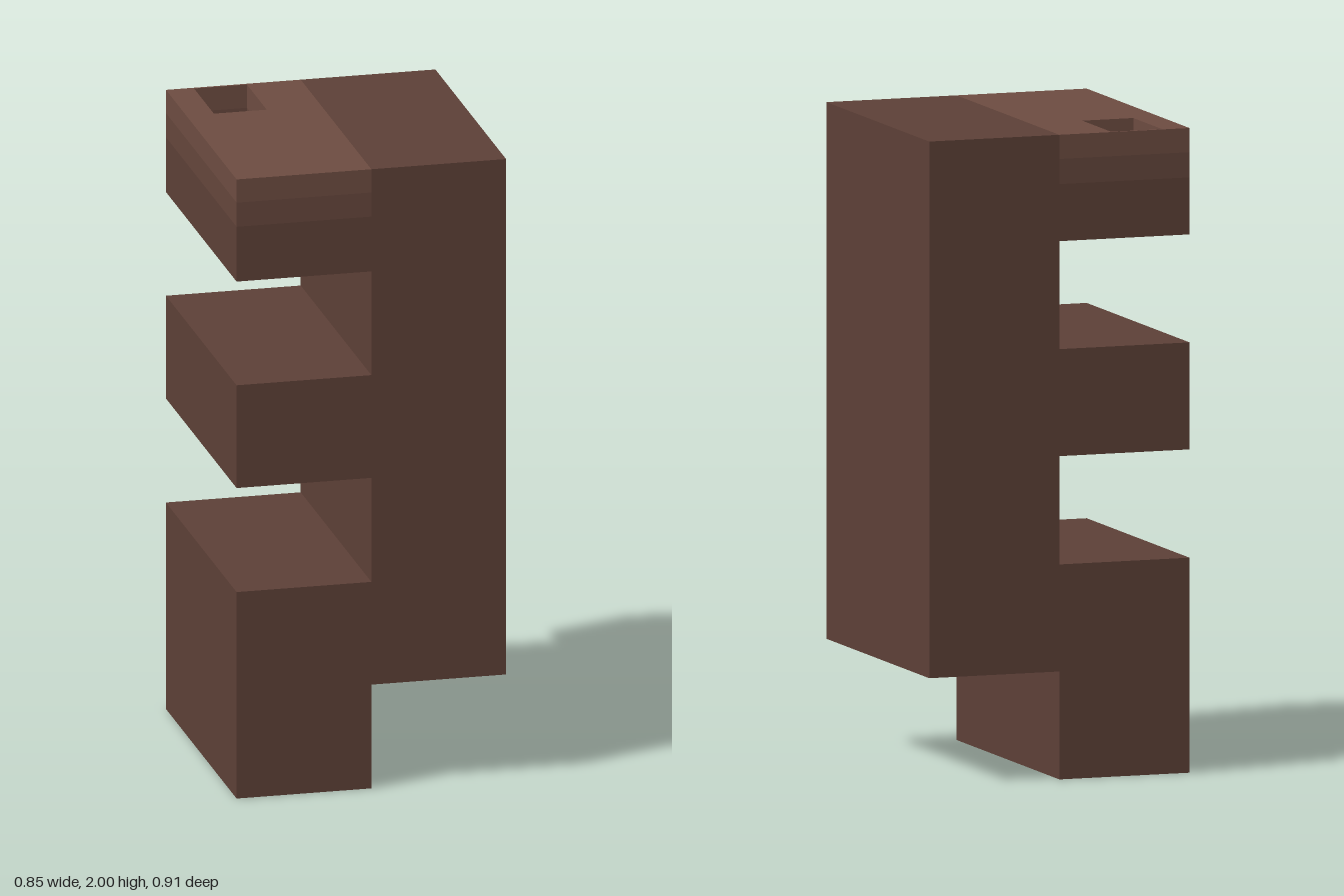
import * as THREE from 'three';

const W = 0.426, D = 0.457; // half width and half depth

function part(name, geometry, color) {
  const mesh = new THREE.Mesh(geometry, new THREE.MeshStandardMaterial({ color, flatShading: true }));
  mesh.name = name;
  return mesh;
}

const polygon = (points) => new THREE.Shape(points.map(([x, y]) => new THREE.Vector2(x, y)));

const rectangle = (x0, x1, y0, y1) => [[x0, y0], [x1, y0], [x1, y1], [x0, y1]];

export function createModel() {
  const model = new THREE.Group();
  model.name = 'toothedBlock';

  // Upright block with the lower and middle teeth on its right side
  const profile = polygon([
    [-W, 0], [0, 0], [0, 0.335], [W, 0.335], [W, 2], [0, 2],
    [0, 1.335], [-W, 1.335], [-W, 1.003], [0, 1.003], [0, 0.667], [-W, 0.667],
  ]);
  const body = new THREE.ExtrudeGeometry(profile, { depth: 2 * D, bevelEnabled: false });
  body.translate(0, 0, -D);
  model.add(part('body', body, 0x5d4037));

  // Top tooth: three coloured layers pierced by one square shaft near the back
  const topTooth = new THREE.Group();
  topTooth.name = 'topTooth';
  const layers = [
    ['toothBase', 1.67, 1.847, 0x5d4037],
    ['toothMiddleBand', 1.847, 1.925, 0x65463c],
    ['toothTopBand', 1.925, 2, 0x6d4c41],
  ];
  for (const [name, y0, y1, color] of layers) {
    const plan = polygon(rectangle(-W, 0, -D, D));
    plan.holes.push(polygon(rectangle(-0.339, -0.172, 0.193, 0.449)));
    const layer = new THREE.ExtrudeGeometry(plan, { depth: y1 - y0, bevelEnabled: false });
    layer.rotateX(-Math.PI / 2).translate(0, y0, 0);
    topTooth.add(part(name, layer, color));
  }
  model.add(topTooth);

  return model;
}
